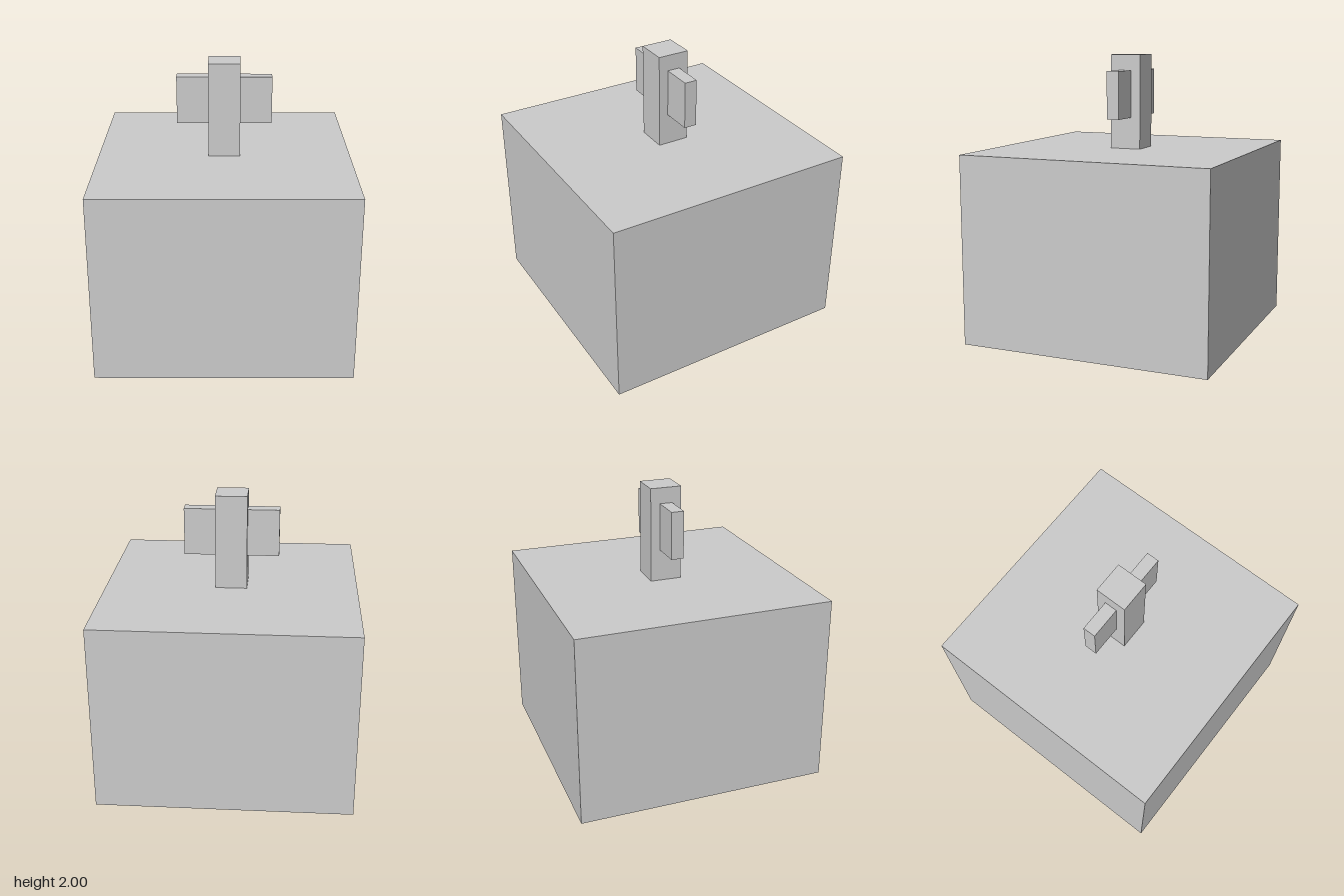
import * as THREE from 'three';

const material = new THREE.MeshStandardMaterial({ color: 0xcccccc, flatShading: true });

// Box placed by its horizontal centre and its bottom height
function addBox(group, name, [w, h, d], x, bottom) {
  const mesh = new THREE.Mesh(new THREE.BoxGeometry(w, h, d), material);
  mesh.name = name;
  mesh.position.set(x, bottom + h / 2, 0);
  group.add(mesh);
}

export function createModel() {
  const group = new THREE.Group();
  group.name = 'blockWithWingedPost';

  const baseHeight = 1.333;
  const postWidth = 0.222;
  const wingWidth = 0.222;

  // Large base block
  addBox(group, 'base', [1.778, baseHeight, 1.778], 0, 0);

  // Square post standing on the base
  addBox(group, 'post', [postWidth, 2 - baseHeight, postWidth], 0, baseHeight);

  // Thin plates on either side of the post
  for (const side of [1, -1]) {
    const x = side * (postWidth + wingWidth) / 2;
    addBox(group, side > 0 ? 'leftWing' : 'rightWing', [wingWidth, 0.333, 0.089], x, 1.556);
  }

  return group;
}
